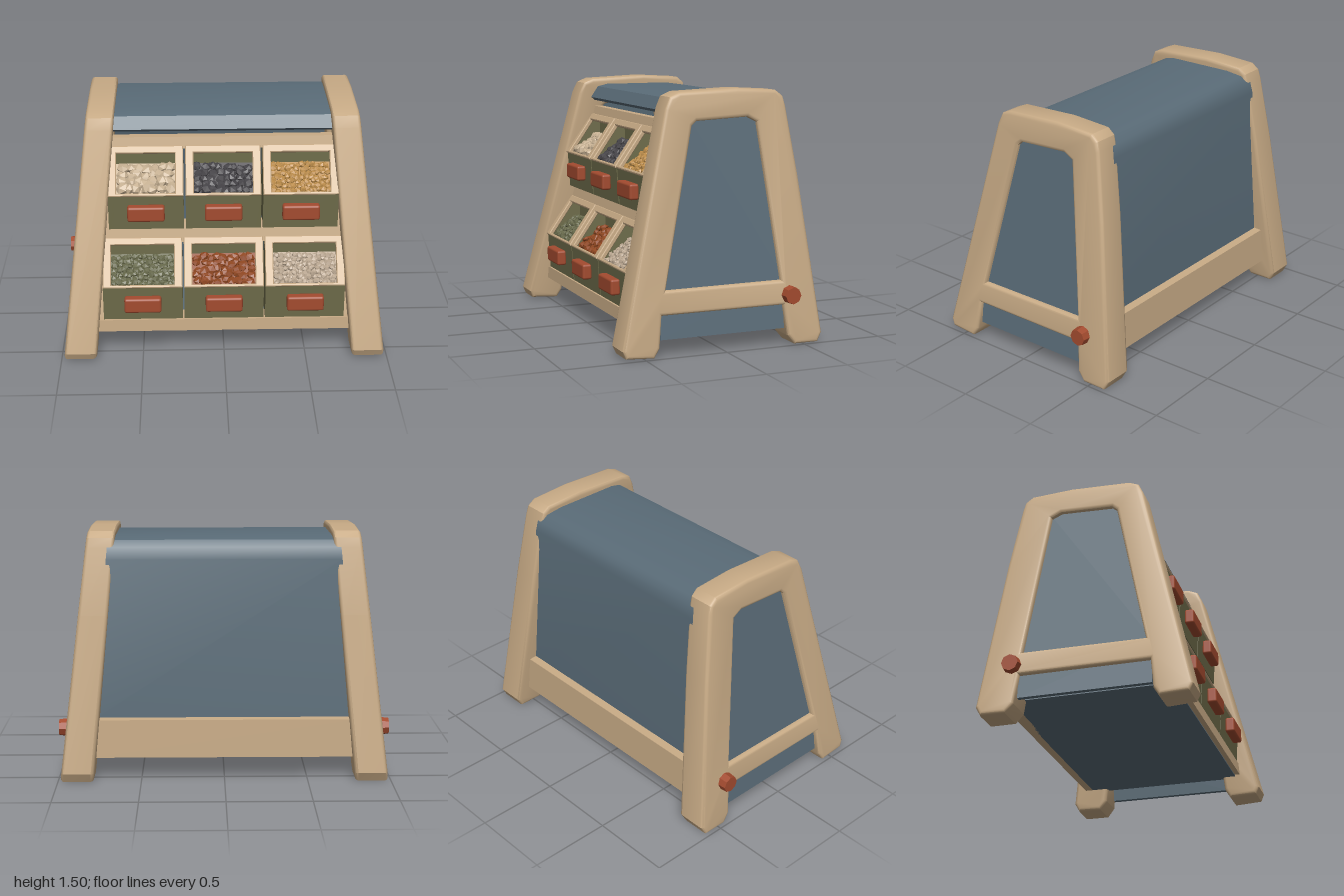
import * as THREE from 'three';
import { mergeGeometries, toCreasedNormals } from 'three/addons/utils/BufferGeometryUtils.js';
import { RoundedBoxGeometry } from 'three/addons/geometries/RoundedBoxGeometry.js';

const material = (name, color) => new THREE.MeshStandardMaterial({ name, color });

const wood = material('wood', 0xc8ab86);
const blue = material('slate blue panel', 0x5a6c78);
const green = material('olive bin', 0x6f6d4b);
const red = material('terracotta', 0xa34b2f);
const beige = material('beige stone', 0xc6b092);
const charcoal = material('charcoal stone', 0x454347);
const gold = material('golden stone', 0xb98a48);
const moss = material('moss stone', 0x66684a);
const rust = material('rust stone', 0x8f4721);
const pale = material('pale stone', 0xb7a48e);

// Faces of the leaning side frames, as x at a given height
const innerX = y => 0.785 - 0.093 * y;
const outerX = y => 0.985 - 0.115 * y;

let seed = 7;
const random = () => {
  seed = (seed * 16807) % 2147483647;
  return seed / 2147483647;
};

function add(parent, name, geometry, mat, x = 0, y = 0, z = 0) {
  const mesh = new THREE.Mesh(geometry, mat);
  mesh.name = name;
  mesh.position.set(x, y, z);
  parent.add(mesh);
  return mesh;
}

// Extrudes a (z, y) outline across x, between two heights-dependent x limits
function slab(points, near, far, { side = 1, hole = null, bevel = 0 } = {}) {
  const toVectors = list => list.map(([z, y]) => new THREE.Vector2(-side * z, y));
  const shape = new THREE.Shape(toVectors(points));
  if (hole) shape.holes.push(new THREE.Path(toVectors(hole)));
  const total = 0.2;
  const geometry = new THREE.ExtrudeGeometry(shape, {
    depth: total - 2 * bevel, bevelEnabled: bevel > 0, bevelThickness: bevel,
    bevelSize: bevel, bevelOffset: -bevel, bevelSegments: 3,
  });
  const p = geometry.attributes.position;
  for (let i = 0; i < p.count; i++) {
    const y = p.getY(i);
    const t = (p.getZ(i) + bevel) / total;
    p.setXYZ(i, side * THREE.MathUtils.lerp(near(y), far(y), t), y, -side * p.getX(i));
  }
  return toCreasedNormals(geometry, 0.6);
}

function rectangle(Type, x0, y0, x1, y1) {
  return new Type([[x0, y0], [x1, y0], [x1, y1], [x0, y1]].map(p => new THREE.Vector2(...p)));
}

// Side A-frame with its inset panel and bolt
function addSide(parent, side) {
  const group = new THREE.Group();
  group.name = side > 0 ? 'leftSide' : 'rightSide';
  parent.add(group);
  const outline = [
    [0.63, 0.06], [0.61, 0.015], [0.44, 0.005], [0.405, 0.06], [0.385, 0.24],
    [-0.385, 0.24], [-0.405, 0.06], [-0.45, 0.005], [-0.6, 0.005], [-0.63, 0.06],
    [-0.512, 1.0], [-0.45, 1.4], [-0.435, 1.455], [-0.39, 1.49], [-0.14, 1.505],
    [0.22, 1.49], [0.28, 1.465], [0.31, 1.4],
  ];
  const hole = [[0.355, 0.38], [0.15, 1.3], [0.12, 1.325], [-0.2, 1.34], [-0.26, 1.31], [-0.375, 0.385]];
  add(group, 'sideFrame', slab(outline, innerX, outerX, { side, hole, bevel: 0.022 }), wood);
  const panel = [[0.392, 0.1], [-0.392, 0.1], [-0.4, 0.4], [-0.29, 1.37], [0.17, 1.37], [0.385, 0.38]];
  add(group, 'sidePanel', slab(panel, y => outerX(y) - 0.06, y => outerX(y) - 0.03, { side }), blue);
  const bolt = new THREE.CylinderGeometry(0.05, 0.056, 0.07, 8).rotateZ(-side * Math.PI / 2);
  add(group, 'bolt', toCreasedNormals(bolt, 0.3), red, side * 0.965, 0.3, -0.425);
}

// Heap of faceted stones lying on a sloped bed
function addStones(parent, width, mat, size) {
  const bed = new THREE.Group();
  bed.name = 'stones';
  bed.position.set(0, 0.505, 0.4);
  bed.rotation.x = 0.64;
  parent.add(bed);
  const length = 0.23;
  add(bed, 'stoneBed', new THREE.BoxGeometry(width, 0.02, length), mat);
  const step = size * 1.3;
  const columns = Math.round(width / step);
  const rows = Math.round(length / step);
  const stones = [];
  const dummy = new THREE.Object3D();
  for (let i = 0; i < columns; i++) {
    for (let j = 0; j < rows; j++) {
      const x = ((i + 0.2 + 0.6 * random()) / columns - 0.5) * (width - size);
      const z = ((j + 0.2 + 0.6 * random()) / rows - 0.5) * (length - size);
      dummy.position.set(x, 0.012 + random() * size * 0.4, z);
      dummy.rotation.set(random() - 0.5, random() * 6.28, random() - 0.5);
      dummy.scale.set(0.8 + 0.4 * random(), 0.5 + 0.2 * random(), 0.7 + 0.3 * random()).multiplyScalar(size);
      dummy.updateMatrix();
      stones.push(new THREE.IcosahedronGeometry(1, 0).applyMatrix4(dummy.matrix));
    }
  }
  add(bed, 'stoneHeap', mergeGeometries(stones), mat);
}

// Open bin with sloping rim, label and contents
function addBin(parent, x, row, width, mat, size) {
  const bin = new THREE.Group();
  bin.name = 'bin';
  bin.position.set(x, 0.55 * row, -0.13 * row);
  parent.add(bin);
  const h = width / 2;
  const wall = [[0.5, 0.23], [0.515, 0.45], [0.34, 0.7], [0.27, 0.7], [0.27, 0.23]];
  for (const s of [-1, 1]) {
    add(bin, 'binWall', slab(wall, () => h - 0.035, () => h, { side: s }), green);
  }
  const across = (name, points) => add(bin, name, slab(points, () => -h, () => h), green);
  across('binFront', [[0.5, 0.23], [0.515, 0.45], [0.49, 0.45], [0.475, 0.23]]);
  across('binBack', [[0.3, 0.23], [0.3, 0.7], [0.27, 0.7], [0.27, 0.23]]);
  across('binFloor', [[0.5, 0.23], [0.5, 0.25], [0.27, 0.25], [0.27, 0.23]]);

  const rim = rectangle(THREE.Shape, -h, 0, h, 0.31);
  rim.holes.push(rectangle(THREE.Path, -h + 0.05, 0.018, h - 0.05, 0.265));
  const rimGeometry = new THREE.ExtrudeGeometry(rim, {
    depth: 0.018, bevelEnabled: true, bevelSize: 0.005, bevelOffset: -0.005, bevelThickness: 0.005, bevelSegments: 1,
  });
  add(bin, 'binRim', rimGeometry, wood, 0, 0.445, 0.508).rotation.x = -0.61;

  add(bin, 'binLabel', new RoundedBoxGeometry(0.225, 0.095, 0.06, 2, 0.014), red, 0, 0.35, 0.535);
  addStones(bin, width - 0.08, mat, size);
}

export function createModel() {
  const model = new THREE.Group();
  model.name = 'binRack';
  addSide(model, 1);
  addSide(model, -1);

  // Back, roof with hood lip, and floor in one bent sheet
  const sheet = [
    [-0.5, 0.14], [-0.49, 0.36], [-0.465, 1.33], [-0.45, 1.4], [-0.41, 1.44], [-0.3, 1.455],
    [0.12, 1.455], [0.185, 1.44], [0.23, 1.37], [0.205, 1.35], [0.16, 1.4], [0.1, 1.42],
    [-0.38, 1.41], [-0.43, 1.33], [-0.45, 0.18], [0.47, 0.18], [0.48, 0.14],
  ];
  const halfWidth = y => innerX(y) + 0.04;
  add(model, 'backRoofAndFloor', slab(sheet, y => -halfWidth(y), halfWidth), blue);

  // Horizontal rails
  const rail = (name, points) =>
    add(model, name, slab(points, y => -halfWidth(y), halfWidth), wood);
  rail('backRail', [[-0.548, 0.14], [-0.54, 0.37], [-0.48, 0.375], [-0.48, 0.14]]);
  rail('frontRail', [[0.51, 0.15], [0.505, 0.225], [0.44, 0.225], [0.44, 0.15]]);

  // Leaning front board, open behind each row of bins
  const board = new THREE.Shape(
    [[0.16, -1], [0.16, 1], [1.31, 1], [1.31, -1]].map(([y, s]) => new THREE.Vector2(s * halfWidth(y), y)));
  board.holes.push(rectangle(THREE.Path, -0.72, 0.24, 0.72, 0.68));
  board.holes.push(rectangle(THREE.Path, -0.68, 0.8, 0.68, 1.24));
  const boardGeometry = new THREE.ExtrudeGeometry(board, { depth: 0.05, bevelEnabled: false });
  const p = boardGeometry.attributes.position;
  for (let i = 0; i < p.count; i++) p.setZ(i, p.getZ(i) + 0.47 - 0.245 * p.getY(i));
  add(model, 'frontBoard', toCreasedNormals(boardGeometry, 0.5), wood);

  // Two rows of three bins, each with its stone colour and size
  const rows = [
    { width: 0.485, spacing: 0.495, stones: [[moss, 0.025], [rust, 0.034], [pale, 0.024]] },
    { width: 0.455, spacing: 0.467, stones: [[beige, 0.044], [charcoal, 0.034], [gold, 0.024]] },
  ];
  rows.forEach(({ width, spacing, stones }, row) => {
    stones.forEach(([mat, size], i) => addBin(model, (i - 1) * spacing, row, width, mat, size));
  });
  return model;
}
